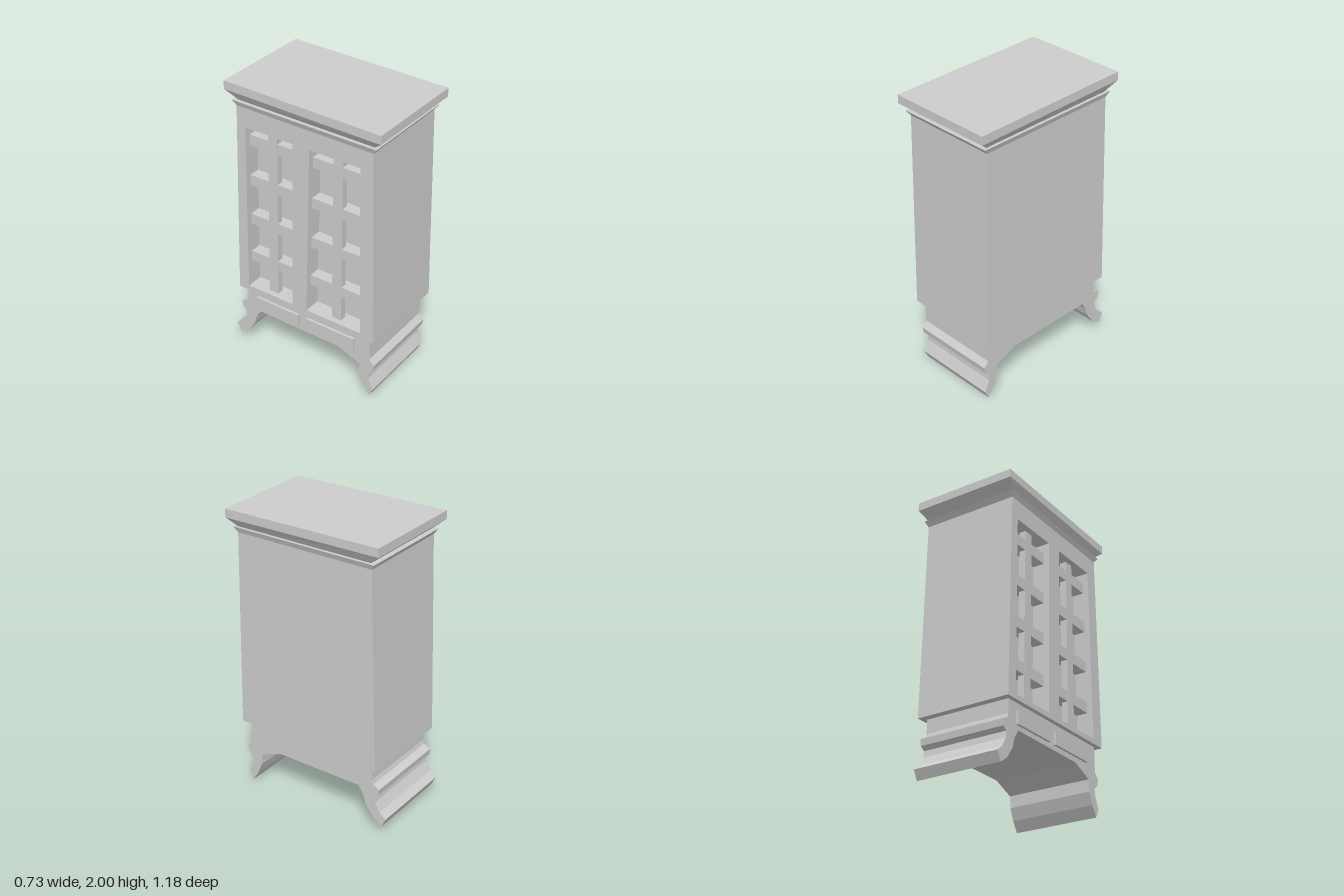
import * as THREE from 'three';

const grey = new THREE.MeshStandardMaterial({ color: 0xcccccc });
grey.name = 'grey';

// Solid cut from a side outline of [z, y] points, running from xMin to xMax
function sideSolid(name, points, xMin, xMax, holes = []) {
  const toVectors = (list) => list.map(([z, y]) => new THREE.Vector2(z, y));
  const shape = new THREE.Shape(toVectors(points));
  for (const hole of holes) shape.holes.push(new THREE.Path(toVectors(hole)));
  const geometry = new THREE.ExtrudeGeometry(shape, { depth: xMax - xMin, bevelEnabled: false });
  geometry.rotateY(-Math.PI / 2);
  geometry.translate(xMax, 0, 0);
  const mesh = new THREE.Mesh(geometry, grey);
  mesh.name = name;
  return mesh;
}

// Flat-faced loft through sloping rectangles, closed at the top
function corniceGeometry(sections) {
  const rings = sections.map(([x0, x1, z0, z1, yBack, yFront]) => [
    [x0, yFront, z1], [x1, yFront, z1], [x1, yBack, z0], [x0, yBack, z0],
  ]);
  const positions = [];
  const quad = (a, b, c, d) => positions.push(...a, ...b, ...c, ...a, ...c, ...d);
  for (let r = 0; r < rings.length - 1; r++) {
    for (let i = 0; i < 4; i++) {
      const j = (i + 1) % 4;
      quad(rings[r][i], rings[r][j], rings[r + 1][j], rings[r + 1][i]);
    }
  }
  quad(...rings[rings.length - 1]);
  const geometry = new THREE.BufferGeometry();
  geometry.setAttribute('position', new THREE.Float32BufferAttribute(positions, 3));
  geometry.computeVertexNormals();
  return geometry;
}

export function createModel() {
  const model = new THREE.Group();
  model.name = 'cabinet';

  // Base with curved, flaring feet
  const baseOutline = [
    [0.5, 0.47], [0.5, 0.3], [0.535, 0.26], [0.526, 0.218], [0.49, 0.183], [0.493, 0.14],
    [0.53, 0.06], [0.5, 0], [0.456, 0.07], [0.424, 0.15], [0.42, 0.23], [0.26, 0.295],
    [-0.377, 0.3], [-0.414, 0.244], [-0.435, 0.175], [-0.493, 0.095], [-0.557, 0.053],
    [-0.588, 0.117], [-0.541, 0.154], [-0.504, 0.218], [-0.498, 0.26], [-0.53, 0.282],
    [-0.536, 0.325], [-0.488, 0.347], [-0.478, 0.377], [-0.478, 0.47],
  ];
  model.add(sideSolid('base', baseOutline, -0.305, 0.295));

  // Tapered body: solid core, and a door frame with two openings
  const bodyOutline = [[0.545, 0.47], [0.52, 1.83], [-0.48, 1.84], [-0.525, 0.47]];
  const yLow = 0.505, yHigh = 1.705;
  const openings = [
    { low: [-0.446, -0.086], high: [-0.42, -0.058] },
    { low: [0.027, 0.444], high: [0.064, 0.43] },
  ];
  const holes = openings.map(({ low, high }) => [
    [low[0], yLow], [low[1], yLow], [high[1], yHigh], [high[0], yHigh],
  ]);
  model.add(sideSolid('body', bodyOutline, -0.215, 0.33));
  model.add(sideSolid('doorFrame', bodyOutline, -0.335, -0.215, holes));

  // Lattice of shelves and a centre bar in each opening
  for (const { low, high } of openings) {
    const edge = (side, y) =>
      THREE.MathUtils.lerp(low[side], high[side], (y - yLow) / (yHigh - yLow));
    for (let i = 0; i < 4; i++) {
      const y0 = 0.69 + i * 0.291, y1 = y0 + 0.075;
      model.add(sideSolid('shelf', [
        [edge(0, y0), y0], [edge(1, y0), y0], [edge(1, y1), y1], [edge(0, y1), y1],
      ], -0.295, -0.215));
    }
    const lowMid = (low[0] + low[1]) / 2, highMid = (high[0] + high[1]) / 2, half = 0.035;
    model.add(sideSolid('latticeBar', [
      [lowMid - half, yLow], [lowMid + half, yLow], [highMid + half, yHigh], [highMid - half, yHigh],
    ], -0.296, -0.25));
  }

  // Drawer fronts
  for (const [z0, z1] of [[-0.4, -0.05], [0.01, 0.385]]) {
    model.add(sideSolid('drawerFront', [[z0, 0.33], [z1, 0.33], [z1, 0.42], [z0, 0.42]], -0.322, -0.3));
  }

  // Moulded cornice and sloping top slab
  const cornice = new THREE.Mesh(corniceGeometry([
    [-0.335, 0.33, -0.48, 0.52, 1.84, 1.83],
    [-0.35, 0.345, -0.505, 0.548, 1.877, 1.867],
    [-0.325, 0.325, -0.47, 0.52, 1.877, 1.867],
    [-0.365, 0.365, -0.548, 0.588, 1.943, 1.922],
    [-0.365, 0.365, -0.548, 0.588, 2, 1.98],
  ]), grey);
  cornice.name = 'cornice';
  model.add(cornice);

  return model;
}
